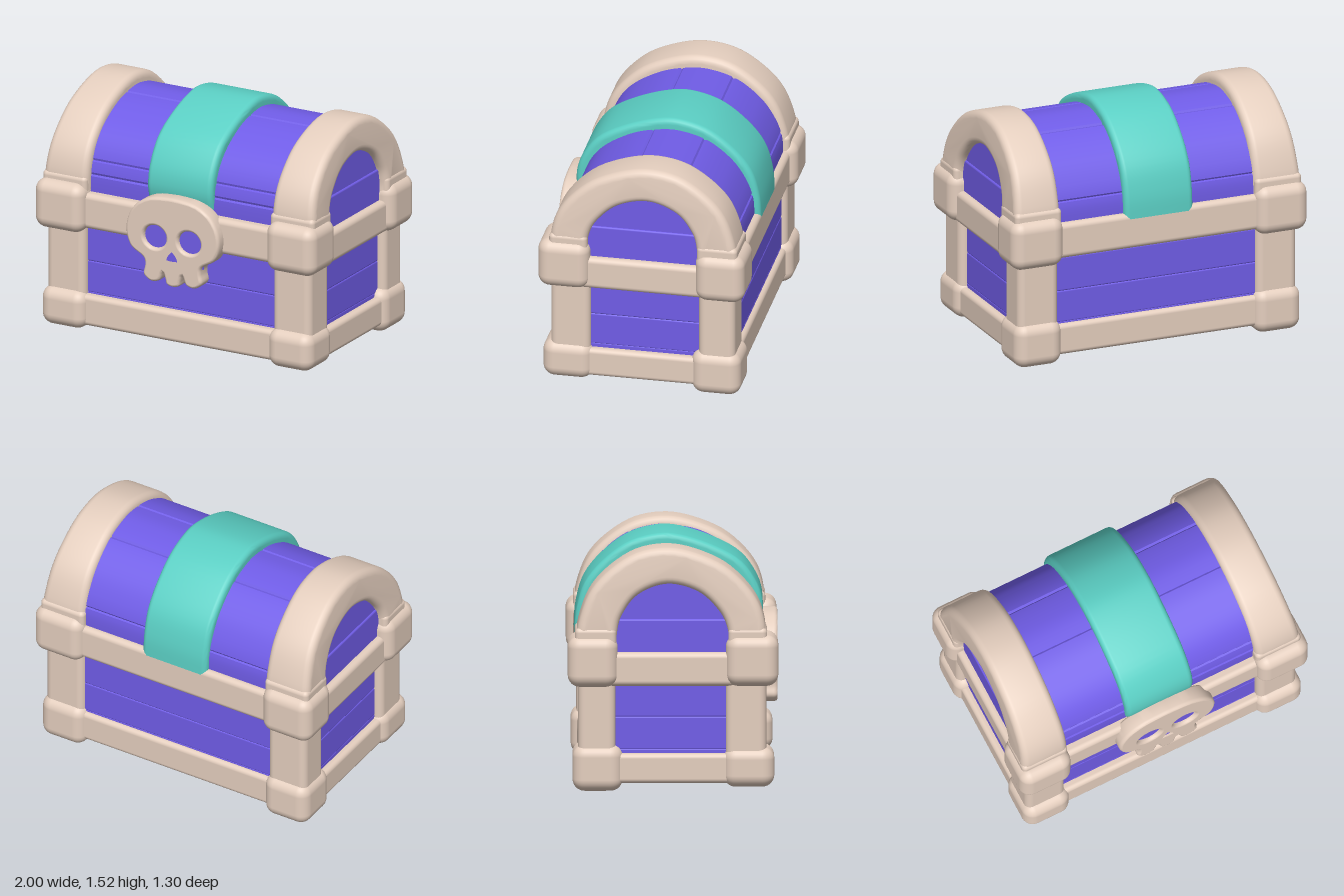
import * as THREE from 'three';
import { toCreasedNormals } from 'three/addons/utils/BufferGeometryUtils.js';
import { RoundedBoxGeometry } from 'three/addons/geometries/RoundedBoxGeometry.js';

const bone = new THREE.MeshStandardMaterial({ color: 0xe4cebe });
const violet = new THREE.MeshStandardMaterial({ color: 0x7460ef });
const teal = new THREE.MeshStandardMaterial({ color: 0x5bcfc4 });
bone.name = 'bone';
violet.name = 'violet';
teal.name = 'teal';

const spline = (pts, n = 48) =>
  new THREE.SplineCurve(pts.map(([a, b]) => new THREE.Vector2(a, b))).getPoints(n);

export function createModel() {
  const chest = new THREE.Group();
  chest.name = 'treasureChest';

  function add(name, geometry, material) {
    const mesh = new THREE.Mesh(geometry, material);
    mesh.name = name;
    chest.add(mesh);
  }

  // Rounded box given by its limits on each axis
  function block(name, [x0, x1], [y0, y1], [z0, z1], r, material) {
    const g = new RoundedBoxGeometry(Math.abs(x1 - x0), y1 - y0, Math.abs(z1 - z0), 4, r);
    g.translate((x0 + x1) / 2, (y0 + y1) / 2, (z0 + z1) / 2);
    add(name, g, material);
  }

  // Extrude a (z, y) outline along x between two limits, with softened edges
  function extrudeX(points, x0, x1, bevel) {
    const g = new THREE.ExtrudeGeometry(new THREE.Shape(points), {
      depth: x1 - x0 - 2 * bevel, bevelEnabled: bevel > 0, bevelThickness: bevel,
      bevelSize: bevel, bevelOffset: -bevel, bevelSegments: 5,
    });
    g.rotateY(-Math.PI / 2);
    g.translate(x1 - bevel, 0, 0);
    return g;
  }

  // Body planks, stacked so their rounded edges form seams
  for (const [y0, y1] of [[0.08, 0.265], [0.255, 0.465], [0.46, 0.685], [0.68, 0.94]]) {
    block('bodyPlank', [-0.89, 0.89], [y0, y1], [-0.555, 0.52], 0.012, violet);
  }
  for (const [z0, z1] of [[-0.53, -0.18], [-0.18, 0.17], [0.17, 0.51]]) {
    block('floorPlank', [-0.87, 0.87], [0.065, 0.2], [z0, z1], 0.012, violet);
  }

  // Curved lid with shallow plank grooves cut into its profile
  const lidLine = spline([[0.52, 0.88], [0.515, 1.05], [0.46, 1.2], [0.36, 1.31], [0.2, 1.4],
    [0.05, 1.44], [-0.1, 1.447], [-0.28, 1.395], [-0.43, 1.28], [-0.52, 1.15],
    [-0.565, 1.02], [-0.57, 0.88]], 160);
  for (const i of [13, 21, 71, 100, 142]) {
    lidLine[i].x *= 0.985;
    lidLine[i].y = 0.9 + (lidLine[i].y - 0.9) * 0.985;
  }
  add('lid', toCreasedNormals(extrudeX(lidLine, -0.9, 0.9, 0), 0.35), violet);
  block('lidEndPlank', [-0.91, 0.91], [0.8, 1.075], [-0.4, 0.4], 0.012, violet);

  // Long and short rails
  for (const [z0, z1, zMid] of [[0.4, 0.575, 0.585], [-0.4, -0.585, -0.61]]) {
    block('lowerLongRail', [-0.8, 0.8], [0.05, 0.25], [z0, z1], 0.03, bone);
    block('middleLongRail', [-0.8, 0.8], [0.69, 0.92], [z0, zMid], 0.035, bone);
  }
  for (const s of [-1, 1]) {
    block('lowerSideRail', [s * 0.76, s * 0.935], [0.05, 0.235], [-0.5, 0.5], 0.03, bone);
    block('middleSideRail', [s * 0.78, s * 0.955], [0.66, 0.87], [-0.5, 0.5], 0.035, bone);

    // Corner posts with a foot and a cap
    for (const f of [-1, 1]) {
      const back = f < 0;
      block('cornerPost', [s * 0.67, s * 0.94], [0.15, 0.8],
        back ? [-0.36, -0.59] : [0.325, 0.575], 0.045, bone);
      block('cornerFoot', [s * 0.65, s * 0.965], back ? [0, 0.29] : [0.025, 0.275],
        back ? [-0.315, -0.625] : [0.31, 0.625], 0.075, bone);
      block('cornerCap', [s * 0.65, s * 1.0], back ? [0.655, 0.975] : [0.66, 0.98],
        back ? [-0.345, -0.655] : [0.325, 0.65], 0.075, bone);
      block('cornerCapTop', [s * 0.655, s * 0.968], [0.85, 1.025],
        back ? [-0.355, -0.61] : [0.34, 0.58], 0.03, bone);
    }
  }

  // Arched end bands, leaning inward on their outer faces
  const bandOuter = spline([[0.565, 0.9], [0.57, 1.03], [0.53, 1.17], [0.44, 1.295], [0.3, 1.41],
    [0.1, 1.49], [-0.07, 1.51], [-0.25, 1.47], [-0.42, 1.355], [-0.53, 1.22],
    [-0.595, 1.03], [-0.6, 0.9]]);
  const bandInner = spline([[-0.35, 0.9], [-0.35, 0.99], [-0.32, 1.1], [-0.22, 1.225],
    [-0.04, 1.29], [0.15, 1.245], [0.28, 1.13], [0.335, 1.02], [0.345, 0.9]]);
  for (const s of [-1, 1]) {
    const g = extrudeX([...bandOuter, ...bandInner], s > 0 ? 0.66 : -0.965, s > 0 ? 0.965 : -0.65, 0.045);
    const p = g.attributes.position;
    const lift = s > 0 ? 0.97 : 1.02;
    for (let i = 0; i < p.count; i++) {
      const x = p.getX(i), y = p.getY(i);
      if (Math.abs(x) > 0.8) p.setX(i, x - s * 0.07 * Math.max(0, y - 1));
      if (y > 1) p.setY(i, 1 + (y - 1) * lift);
    }
    add('lidEndBand', toCreasedNormals(g, 0.7), bone);
  }

  // Strap over the lid
  const strapOuter = spline([[0.535, 0.93], [0.56, 1.05], [0.53, 1.19], [0.425, 1.34], [0.25, 1.44],
    [0.05, 1.505], [-0.1, 1.513], [-0.28, 1.46], [-0.44, 1.34], [-0.55, 1.2],
    [-0.6, 1.03], [-0.61, 0.88]]);
  const strapInner = spline([[-0.5, 0.88], [-0.47, 1.1], [-0.33, 1.28], [-0.05, 1.38],
    [0.25, 1.31], [0.42, 1.14], [0.45, 0.93]]);
  add('lidStrap', toCreasedNormals(extrudeX([...strapOuter, ...strapInner], -0.235, 0.23, 0.035), 0.7), teal);

  // Skull clasp with eye and nose openings
  const half = [[0.15, 1.005], [0.26, 0.945], [0.32, 0.85], [0.33, 0.75], [0.295, 0.66], [0.21, 0.605],
    [0.198, 0.555], [0.207, 0.495], [0.155, 0.455], [0.095, 0.47], [0.07, 0.525], [0.053, 0.485], [0.042, 0.452]];
  const mirrored = half.map(([x, y]) => [-x, y]).reverse();
  const outline = spline([[0, 1.02], ...half, [0, 0.44], ...mirrored, [0, 1.02]], 140);
  outline.pop();
  const skull = new THREE.Shape(outline);
  for (const x of [-0.125, 0.12]) {
    skull.holes.push(new THREE.Path().absellipse(x, 0.75, 0.08, 0.074, 0, Math.PI * 2));
  }
  const nose = new THREE.Path();
  nose.moveTo(-0.056, 0.598);
  nose.quadraticCurveTo(-0.062, 0.65, 0, 0.695);
  nose.quadraticCurveTo(0.062, 0.65, 0.056, 0.598);
  nose.quadraticCurveTo(0, 0.588, -0.056, 0.598);
  skull.holes.push(nose);
  const skullGeo = toCreasedNormals(new THREE.ExtrudeGeometry(skull, {
    depth: 0.065, bevelThickness: 0.025, bevelSize: 0.018, bevelOffset: -0.018,
    bevelSegments: 4, curveSegments: 24,
  }), 0.7);
  // Keep the flat front and back faces evenly shaded
  const caps = skullGeo.groups[0];
  for (let i = caps.start; i < caps.start + caps.count; i++) {
    skullGeo.attributes.normal.setXYZ(i, 0, 0, skullGeo.attributes.position.getZ(i) > 0.03 ? 1 : -1);
  }
  skullGeo.translate(0, 0, 0.56);
  add('skullClasp', skullGeo, bone);
  const inset = new THREE.BoxGeometry(0.42, 0.25, 0.008);
  inset.translate(0, 0.71, 0.618);
  add('skullInset', inset, violet);

  return chest;
}
